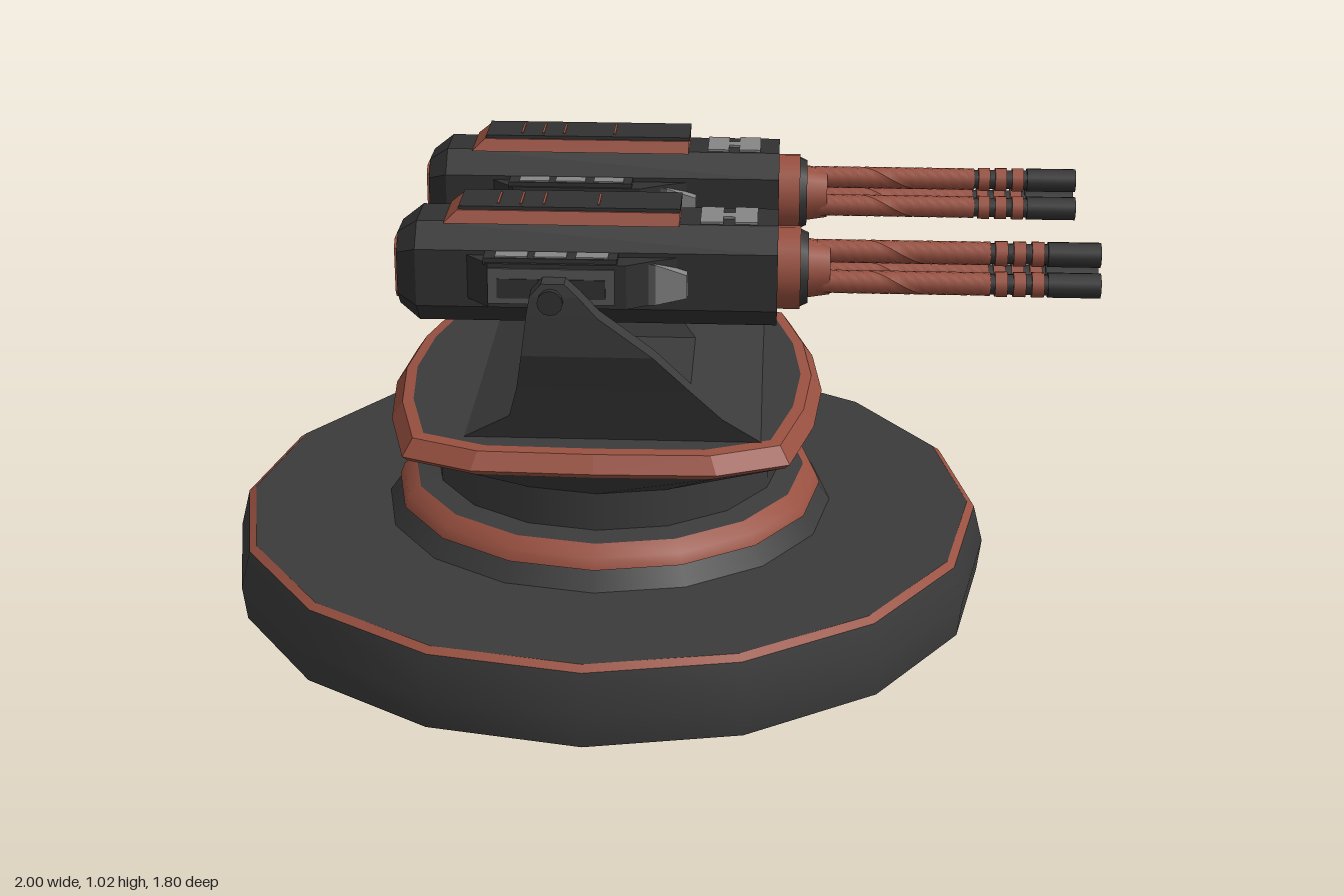
import * as THREE from 'three';

const mat = (name, color) => new THREE.MeshStandardMaterial({ name, color, side: THREE.DoubleSide });
const CX = -0.1; // turntable axis
const GY = 0.865; // gun axis height

// Skin a list of equal-length rings (counter-clockwise seen from the last ring's side)
function loft(rings, { start = false, end = false, flat = true } = {}) {
  const n = rings[0].length, idx = [];
  for (let k = 0; k < rings.length - 1; k++) {
    for (let i = 0; i < n; i++) {
      const a = k * n + i, b = k * n + (i + 1) % n;
      idx.push(a, b, b + n, a, b + n, a + n);
    }
  }
  const last = (rings.length - 1) * n;
  for (let i = 1; i < n - 1; i++) {
    if (start) idx.push(0, i + 1, i);
    if (end) idx.push(last, last + i, last + i + 1);
  }
  let g = new THREE.BufferGeometry();
  g.setAttribute('position', new THREE.Float32BufferAttribute(rings.flat(2), 3));
  g.setIndex(idx);
  if (flat) g = g.toNonIndexed();
  g.computeVertexNormals();
  return g;
}

const rectRing = ([y, x0, x1, z0, z1]) => [[x0, y, z1], [x1, y, z1], [x1, y, z0], [x0, y, z0]];
const poly = pts => new THREE.Shape(pts.map(p => new THREE.Vector2(...p)));
const box = (x0, x1, y0, y1, z0, z1) =>
  new THREE.BoxGeometry(x1 - x0, y1 - y0, z1 - z0).translate((x0 + x1) / 2, (y0 + y1) / 2, (z0 + z1) / 2);
const cylX = (r0, r1, x0, x1, sides = 16) =>
  new THREE.CylinderGeometry(r1, r0, x1 - x0, sides).rotateZ(-Math.PI / 2).translate((x0 + x1) / 2, 0, 0);

// Barrel skin twisted along its length, so its columns become helical stripes
function stripedBarrel(r, x0, x1) {
  const cols = 12, rows = 36, len = x1 - x0;
  const g = new THREE.CylinderGeometry(r, r, len, cols, rows, true);
  const p = g.attributes.position, v = new THREE.Vector3(), up = new THREE.Vector3(0, 1, 0);
  for (let i = 0; i < p.count; i++) {
    v.fromBufferAttribute(p, i);
    v.applyAxisAngle(up, (v.y / len) * 8);
    p.setXYZ(i, v.x, v.y, v.z);
  }
  const sets = [[], []];
  for (let c = 0; c < cols; c++) {
    const from = c * rows * 6;
    sets[c % 6 < 2 ? 1 : 0].push(...g.index.array.slice(from, from + rows * 6));
  }
  g.setIndex([...sets[0], ...sets[1]]);
  g.addGroup(0, sets[0].length, 0);
  g.addGroup(sets[0].length, sets[1].length, 1);
  g.computeVertexNormals();
  return g.rotateZ(-Math.PI / 2).translate((x0 + x1) / 2, 0, 0);
}

export function createModel() {
  const model = new THREE.Group();
  model.name = 'twinGunTurret';
  const dark = mat('darkMetal', 0x3b3b3b);
  const gunmetal = mat('gunmetal', 0x313131);
  const red = mat('rustRed', 0x985040);
  const midGray = mat('midGray', 0x555555);
  const light = mat('lightGray', 0x868686);

  const add = (parent, name, geo, material, x = 0, y = 0, z = 0) => {
    const m = new THREE.Mesh(geo, material);
    m.name = name;
    m.position.set(x, y, z);
    parent.add(m);
    return m;
  };

  // Hollow base, collar and neck, one lathe strip per crease
  const lathe = (name, material, ...pts) =>
    add(model, name, new THREE.LatheGeometry(pts.map(p => new THREE.Vector2(...p)), 16), material, CX);
  lathe('baseWall', dark, [0.89, 0], [0.9, 0.08], [0.877, 0.17]);
  lathe('baseTrim', red, [0.877, 0.17], [0.86, 0.182]);
  lathe('baseTop', dark, [0.86, 0.182], [0.53, 0.182]);
  lathe('collarFoot', dark, [0.53, 0.182], [0.5, 0.225]);
  lathe('collarTrim', red, [0.505, 0.225], [0.495, 0.25], [0.465, 0.272]);
  lathe('collarTop', dark, [0.465, 0.272], [0.412, 0.28]);
  lathe('neck', dark, [0.412, 0.28], [0.412, 0.37]);

  // Rounded-square platform flaring from the neck
  const quarter = [[0, 0.515], [0.27, 0.508], [0.43, 0.44], [0.485, 0.22], [0.505, 0]];
  const outline = [...quarter,
    ...quarter.slice(0, 4).reverse().map(([x, z]) => [x, -z]),
    ...quarter.slice(1).map(([x, z]) => [-x, -z]),
    ...quarter.slice(1, 4).reverse().map(([x, z]) => [-x, z])];
  const ring = (s, y) => outline.map(([x, z]) => [CX + x * s, y, z * s]);
  const circle = (r, y) => outline.map((_, i) =>
    [CX + r * Math.sin(i * Math.PI / 8), y, r * Math.cos(i * Math.PI / 8)]);
  add(model, 'platformFlare', loft([circle(0.412, 0.37), ring(0.975, 0.45)], { flat: false }), dark);
  add(model, 'platformTrim', loft([ring(0.975, 0.45), ring(1, 0.463), ring(0.95, 0.5), ring(0.9, 0.503)]), red);
  add(model, 'platformTop', loft([ring(0.9, 0.503), ring(0.5, 0.505)], { end: true }), dark);

  // Cradle: sloped block, two outer arms and a centre pillar
  const stack = rows => loft(rows.map(rectRing), { start: true, end: true });
  add(model, 'cradleBase', stack([[0.5, -0.4, 0.27, -0.41, 0.41], [0.565, -0.29, 0.18, -0.433, 0.433],
    [0.64, -0.27, 0.11, -0.458, 0.458]]), dark);
  for (const s of [1, -1]) {
    const arm = add(model, 'cradleArm', stack([[0.64, -0.27, 0.11, 0.41, 0.458], [0.73, -0.255, 0.03, 0.44, 0.492],
      [0.82, -0.243, -0.09, 0.44, 0.492], [0.865, -0.235, -0.13, 0.44, 0.49], [0.893, -0.21, -0.16, 0.44, 0.485]]), dark);
    arm.scale.z = s;
  }
  add(model, 'cradlePillar', stack([[0.64, -0.27, 0.11, -0.13, 0.13], [0.74, -0.265, 0.03, -0.1, 0.1],
    [0.87, -0.27, -0.09, -0.068, 0.068], [0.895, -0.26, -0.1, -0.065, 0.065]]), dark);

  // Gun shapes shared by both guns
  const oct = (x, s) => [[0.11, -0.065], [0.11, 0.065], [0.06, 0.115], [-0.06, 0.115],
    [-0.11, 0.065], [-0.11, -0.065], [-0.06, -0.115], [0.06, -0.115]].map(([u, v]) => [x, v * s, -u * s]);
  const bodyGeo = loft([oct(-0.54, 0.72), oct(-0.495, 1), oct(0.295, 1)], { start: true, end: true });
  const frame = poly([[-0.06, -0.05], [-0.045, -0.068], [0.045, -0.068], [0.06, -0.05],
    [0.06, 0.05], [0.045, 0.068], [-0.045, 0.068], [-0.06, 0.05]]);
  frame.holes.push(poly([[-0.043, -0.05], [-0.043, 0.05], [0.043, 0.05], [0.043, -0.05]]));
  const frameGeo = new THREE.ExtrudeGeometry(frame, { depth: 0.008, bevelEnabled: false }).rotateY(-Math.PI / 2);
  const podGeo = new THREE.ExtrudeGeometry(poly([[-0.39, 0.1], [0.1, 0.1], [0.03, 0.13], [-0.03, 0.165],
    [-0.33, 0.165]]), { depth: 0.1, bevelEnabled: false }).rotateX(Math.PI / 2).translate(0, 0.055, 0);
  const ventGeo = new THREE.ExtrudeGeometry(poly([[0.03, -0.045], [0.1, -0.028], [0.1, 0.025], [0.03, 0.048]]),
    { depth: 0.03, bevelEnabled: false }).translate(0, 0, 0.107);
  const barrelGeo = stripedBarrel(0.026, 0.38, 0.76);

  for (const side of [1, -1]) {
    const gun = new THREE.Group();
    gun.name = side > 0 ? 'frontGun' : 'backGun';
    gun.position.set(0, GY, side * 0.27);
    model.add(gun);

    add(gun, 'gunBody', bodyGeo, gunmetal);
    add(gun, 'rearFrame', frameGeo, red, -0.539);

    // Raised top cover with red sides and thin seams
    add(gun, 'coverSides', stack([[0.115, -0.435, 0.08, -0.078, 0.078], [0.142, -0.405, 0.08, -0.064, 0.064]]), red);
    add(gun, 'coverTop', box(-0.402, 0.082, 0.142, 0.15, -0.06, 0.06), gunmetal);
    for (const x of [-0.32, -0.27, -0.22, -0.1])
      add(gun, 'coverSeam', box(x, x + 0.005, 0.149, 0.152, -0.04, 0.04), red);
    for (const x of [0.125, 0.2])
      add(gun, 'topVent', box(x, x + 0.05, 0.114, 0.12, -0.053, 0.053), light);
    add(gun, 'topVentBar', box(0.17, 0.205, 0.114, 0.12, -0.015, 0.015), light);

    // Side pods, vents and pivots on both flanks
    for (const s of [1, -1]) {
      const flank = new THREE.Group();
      flank.name = 'sidePod';
      flank.scale.z = s;
      gun.add(flank);
      add(flank, 'pod', podGeo, gunmetal);
      add(flank, 'podPanel', box(-0.33, -0.055, -0.035, 0.045, 0.163, 0.169), midGray);
      add(flank, 'podPanelInset', box(-0.31, -0.075, -0.022, 0.022, 0.167, 0.171), gunmetal);
      add(flank, 'podRidge', box(-0.34, -0.05, 0.05, 0.065, 0.1, 0.158), gunmetal);
      for (const x of [-0.315, -0.23, -0.14])
        add(flank, 'podPatch', box(x, x + 0.07, 0.062, 0.068, 0.118, 0.153), light);
      add(flank, 'sideVent', ventGeo, light);
      add(flank, 'sideVentFrame', box(0, 0.032, -0.045, 0.048, 0.1, 0.138), midGray);
      add(flank, 'pivot', new THREE.CylinderGeometry(0.028, 0.028, 0.09, 12).rotateX(Math.PI / 2),
        gunmetal, -0.19, -0.01, 0.187);
    }

    // Muzzle hub and three-barrel cluster
    add(gun, 'hub', cylX(0.092, 0.092, 0.29, 0.345), red);
    add(gun, 'hubFace', cylX(0.086, 0.078, 0.345, 0.362), gunmetal);
    add(gun, 'barrelRoot', cylX(0.066, 0.058, 0.36, 0.41), red);
    for (let i = 0; i < 3; i++) {
      const a = Math.PI / 2 + i * Math.PI * 2 / 3;
      const barrel = new THREE.Group();
      barrel.name = 'barrel';
      barrel.position.set(0, Math.sin(a) * 0.04, Math.cos(a) * 0.036);
      gun.add(barrel);
      add(barrel, 'barrelWrap', barrelGeo, [red, gunmetal]);
      add(barrel, 'barrelCore', cylX(0.023, 0.023, 0.74, 0.9, 12), gunmetal);
      for (const x of [0.77, 0.81, 0.85])
        add(barrel, 'barrelBand', cylX(0.028, 0.028, x, x + 0.027, 12), red);
      add(barrel, 'barrelTip', cylX(0.028, 0.028, 0.885, 1, 12), gunmetal);
    }
  }
  return model;
}
